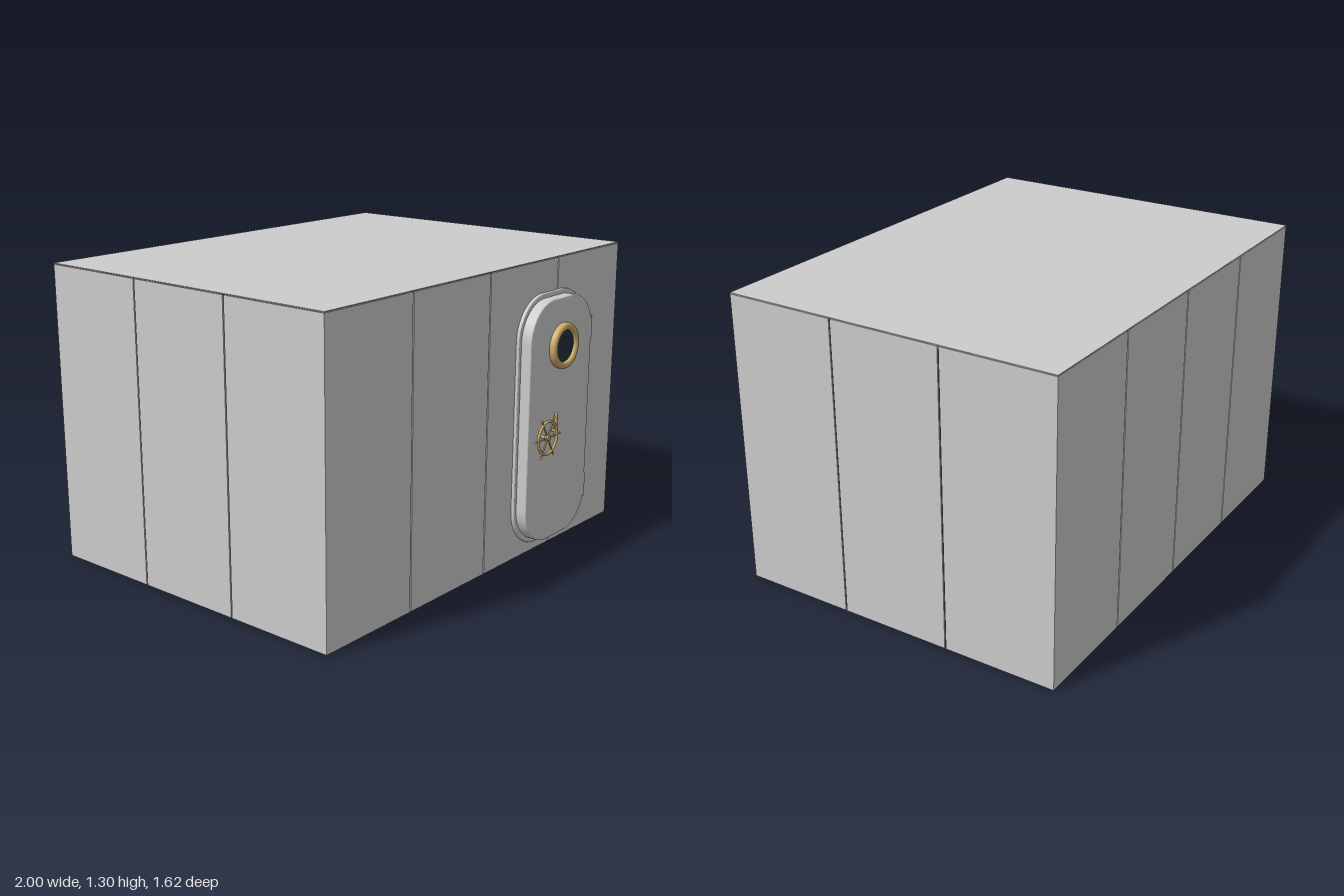
import * as THREE from 'three';

const material = (color) => new THREE.MeshStandardMaterial({ color });
const grey = material(0xcccccc);
const brass = material(0xc9a868);
const dark = material(0x1c1c1c);
const glass = material(0x22303a);

function add(parent, name, geometry, mat, x = 0, y = 0, z = 0) {
  const mesh = new THREE.Mesh(geometry, mat);
  mesh.name = name;
  mesh.position.set(x, y, z);
  parent.add(mesh);
  return mesh;
}

function box(parent, name, mat, [x0, x1], [y0, y1], [z0, z1]) {
  return add(parent, name, new THREE.BoxGeometry(x1 - x0, y1 - y0, z1 - z0), mat,
    (x0 + x1) / 2, (y0 + y1) / 2, (z0 + z1) / 2);
}

// Rounded rectangle centred on the origin
function roundedRect(w, h, r) {
  const s = new THREE.Shape();
  const x = w / 2, y = h / 2;
  s.moveTo(-x + r, -y);
  s.lineTo(x - r, -y);
  s.absarc(x - r, -y + r, r, -Math.PI / 2, 0);
  s.lineTo(x, y - r);
  s.absarc(x - r, y - r, r, 0, Math.PI / 2);
  s.lineTo(-x + r, y);
  s.absarc(-x + r, y - r, r, Math.PI / 2, Math.PI);
  s.lineTo(-x, -y + r);
  s.absarc(-x + r, -y + r, r, Math.PI, Math.PI * 1.5);
  return s;
}

// Slab with softened edges, its back at z = 0
function slab(w, h, r, depth, bevel) {
  const g = new THREE.ExtrudeGeometry(roundedRect(w - 2 * bevel, h - 2 * bevel, r - bevel), {
    depth: depth - 2 * bevel, bevelEnabled: true, bevelSize: bevel,
    bevelThickness: bevel, bevelSegments: 3, curveSegments: 14,
  });
  return g.translate(0, 0, bevel);
}

function createRoom() {
  const room = new THREE.Group();
  room.name = 'room';
  const front = 0.69, back = -0.81, t = 0.03, gap = 0.003, top = 1.294;

  // Dark core shows in the seams and underneath
  box(room, 'core', dark, [-0.994, 0.994], [0, 1.297], [back + 0.006, front - 0.006]);
  box(room, 'roof', grey, [-1, 1], [1.296, 1.3], [back, front]);

  // Front and back wall panels
  for (let i = 0; i < 4; i++) {
    const x = [-1 + i * 0.5 + (i > 0 ? gap : 0), -0.5 + i * 0.5 - (i < 3 ? gap : 0)];
    box(room, 'frontPanel', grey, x, [0.001, top], [front - t, front]);
    box(room, 'backPanel', grey, x, [0.001, top], [back, back + t]);
  }
  // Side wall panels, between the front and back ones
  for (let i = 0; i < 3; i++) {
    const z = [back + i * 0.5 + (i > 0 ? gap : t), back + (i + 1) * 0.5 - (i < 2 ? gap : t)];
    box(room, 'leftPanel', grey, [1 - t, 1], [0.001, top], z);
    box(room, 'rightPanel', grey, [-1, -1 + t], [0.001, top], z);
  }
  return room;
}

function createPorthole() {
  const porthole = new THREE.Group();
  porthole.name = 'porthole';
  // Brass ring with a rounded rim
  const profile = [[0.07, -0.002], [0.07, 0.018], [0.073, 0.025], [0.08, 0.029], [0.09, 0.029],
    [0.097, 0.025], [0.1, 0.018], [0.1, -0.002]].map(([r, y]) => new THREE.Vector2(r, y)).reverse();
  const ring = add(porthole, 'portholeRing', new THREE.LatheGeometry(profile, 48), brass);
  ring.material = brass.clone();
  ring.material.side = THREE.DoubleSide;
  ring.rotation.x = Math.PI / 2;
  const pane = add(porthole, 'portholeGlass', new THREE.CylinderGeometry(0.071, 0.071, 0.014, 48), glass, 0, 0, 0.006);
  pane.rotation.x = Math.PI / 2;
  return porthole;
}

function createWheel() {
  const wheel = new THREE.Group();
  wheel.name = 'handWheel';
  add(wheel, 'wheelRim', new THREE.TorusGeometry(0.072, 0.0065, 10, 48), brass);
  // Three bars through the hub make six spokes with grips
  for (let i = 0; i < 3; i++) {
    const a = i * Math.PI / 3;
    const bar = add(wheel, 'spoke', new THREE.CylinderGeometry(0.0038, 0.0038, 0.19, 10), brass);
    bar.rotation.z = a + Math.PI / 2;
    for (const s of [-1, 1]) {
      add(wheel, 'spokeGrip', new THREE.SphereGeometry(0.0055, 10, 8), brass,
        s * 0.094 * Math.cos(a), s * 0.094 * Math.sin(a), 0);
    }
  }
  const hub = add(wheel, 'hub', new THREE.CylinderGeometry(0.013, 0.013, 0.018, 20), brass);
  const shaft = add(wheel, 'shaft', new THREE.CylinderGeometry(0.007, 0.007, 0.052, 14), brass, 0, 0, -0.026);
  hub.rotation.x = shaft.rotation.x = Math.PI / 2;
  return wheel;
}

function createDoor() {
  const door = new THREE.Group();
  door.name = 'door';
  add(door, 'doorFrame', slab(0.51, 1.115, 0.185, 0.018, 0.005), grey, 0.45, 0.6, 0.687);
  add(door, 'doorLeaf', slab(0.476, 1.075, 0.168, 0.053, 0.006), grey, 0.45, 0.6, 0.702);

  // Hinges on the left edge
  for (const y of [0.235, 0.962]) {
    add(door, 'hinge', new THREE.CylinderGeometry(0.014, 0.014, 0.112, 20), grey, 0.69, y, 0.739);
  }

  const porthole = createPorthole();
  porthole.position.set(0.45, 0.928, 0.755);
  const wheel = createWheel();
  wheel.position.set(0.29, 0.56, 0.801);
  door.add(porthole, wheel);

  // Upright pull handle beside the wheel
  add(door, 'handle', new THREE.CapsuleGeometry(0.0075, 0.096, 4, 12), brass, 0.4, 0.586, 0.771);
  const post = add(door, 'handlePost', new THREE.CylinderGeometry(0.006, 0.006, 0.02, 12), brass, 0.4, 0.56, 0.762);
  post.rotation.x = Math.PI / 2;
  return door;
}

export function createModel() {
  const model = new THREE.Group();
  model.name = 'vaultRoom';
  model.add(createRoom(), createDoor());
  return model;
}
